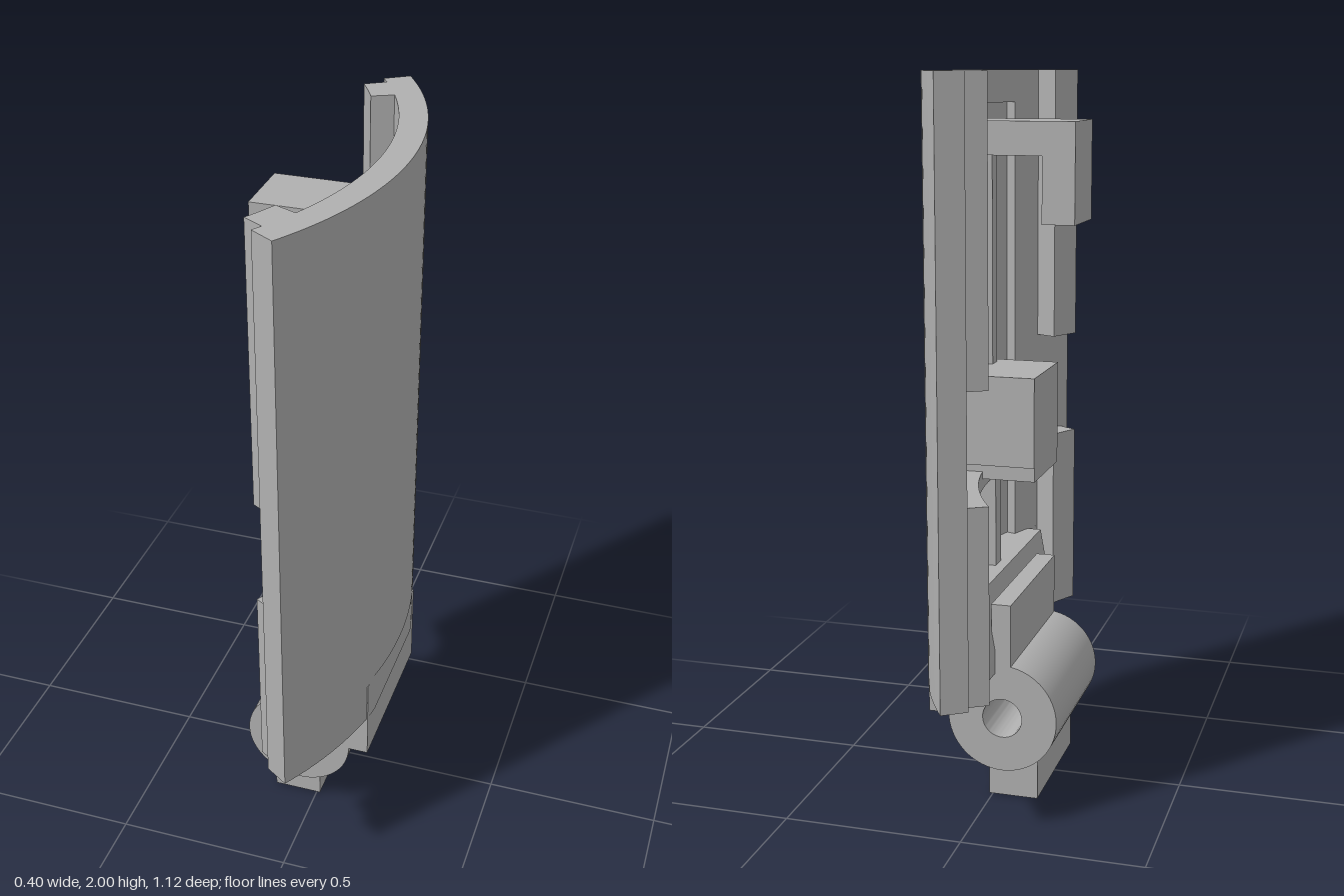
import * as THREE from 'three';
import { toCreasedNormals } from 'three/addons/utils/BufferGeometryUtils.js';

const CX = -0.836;                             // axis of the curved cover
const R_OUT = 1.033, R_MID = 0.985, R_IN = 0.957, R_RIB = 0.893;
const END = 32.8, RIB_IN = 24.8, RIB_OUT = 31; // angles in degrees

export function createModel() {
  const group = new THREE.Group();
  const grey = new THREE.MeshStandardMaterial({ color: 0xb0b0b0 });
  grey.name = 'grey';

  function add(name, geometry) {
    const mesh = new THREE.Mesh(geometry, grey);
    mesh.name = name;
    group.add(mesh);
    return mesh;
  }

  // box given by its limits
  function box(name, x0, x1, y0, y1, z0, z1) {
    const g = new THREE.BoxGeometry(x1 - x0, y1 - y0, z1 - z0);
    g.translate((x0 + x1) / 2, (y0 + y1) / 2, (z0 + z1) / 2);
    return add(name, g);
  }

  // upright slice of a ring wall, optionally planed flat at maxX
  function sector(name, r0, r1, a0, a1, y0, y1, maxX = 1) {
    const n = Math.max(4, Math.ceil((a1 - a0) * 0.75));
    const pts = [];
    const put = (r, deg) => {
      const a = THREE.MathUtils.degToRad(deg);
      pts.push(new THREE.Vector2(Math.min(maxX, CX + r * Math.cos(a)), -r * Math.sin(a)));
    };
    for (let i = 0; i <= n; i++) put(r1, a0 + (a1 - a0) * i / n);
    for (let i = n; i >= 0; i--) put(r0, a0 + (a1 - a0) * i / n);
    const g = new THREE.ExtrudeGeometry(new THREE.Shape(pts), { depth: y1 - y0, bevelEnabled: false });
    g.rotateX(-Math.PI / 2);
    g.translate(0, y0, 0);
    return add(name, toCreasedNormals(g, 0.3));
  }

  // side profile in x and y, extruded symmetrically across z
  function profile(name, shape, halfWidth) {
    const g = new THREE.ExtrudeGeometry(shape, { depth: 2 * halfWidth, bevelEnabled: false, curveSegments: 32 });
    g.translate(0, 0, -halfWidth);
    return add(name, toCreasedNormals(g, 0.4));
  }

  // outer skin, with a flat at the bottom
  sector('coverSkin', R_MID, R_OUT, -END, END, 0.51, 2);
  sector('coverSkinFlat', R_MID, R_OUT, -END, END, 0.38, 0.51, 0.178);

  // inner layer around a shallow recess
  sector('innerLayerTop', R_IN, R_MID, -END, END, 1.91, 2);
  sector('innerLayerBottom', R_IN, R_MID, -END, END, 0.38, 0.62);
  for (const s of [-1, 1]) {
    const span = (a, b) => (s > 0 ? [a, b] : [-b, -a]);
    sector('innerLayerSide', R_IN, R_MID, ...span(18, END), 0.62, 1.91);
    // edge ribs, interrupted in the middle
    sector('upperEdgeRib', R_RIB, R_IN, ...span(RIB_IN, RIB_OUT), 1.22, 2);
    sector('lowerEdgeRib', R_RIB, R_IN, ...span(RIB_IN, RIB_OUT), 0.38, 0.92);
    // slim uprights between hook and block
    box('upright', 0.07, 0.155, 1.15, 1.8, s * 0.07 - 0.02, s * 0.07 + 0.02);
  }

  // cross rib and centre rib of the lower frame
  sector('crossRib', R_RIB, R_MID, -RIB_OUT, RIB_OUT, 0.87, 0.92);
  box('centreRib', 0.04, 0.155, 0.55, 0.9, -0.025, 0.025);

  // sloped shelf at the foot of the frame
  profile('shelf', new THREE.Shape([
    [-0.02, 0.38], [0.1, 0.38], [0.1, 0.62], [0.01, 0.62], [-0.02, 0.45],
  ].map(([x, y]) => new THREE.Vector2(x, y))), 0.36);

  // hook
  profile('hook', new THREE.Shape([
    [-0.2, 1.6], [-0.11, 1.6], [-0.11, 1.78], [0.16, 1.78], [0.16, 1.87], [-0.2, 1.87],
  ].map(([x, y]) => new THREE.Vector2(x, y))), 0.097);

  // stop block with a narrow lower step
  box('stopBlock', -0.1, 0.16, 0.94, 1.19, -0.13, 0.13);
  box('stopBlockStep', -0.1, 0.16, 0.9, 0.94, -0.123, 0.123);

  // hinge barrel with a pin hole
  const ring = new THREE.Shape();
  ring.absarc(-0.04, 0.25, 0.155, 0, Math.PI * 2, false);
  const hole = new THREE.Path();
  hole.absarc(-0.04, 0.25, 0.056, 0, Math.PI * 2, true);
  ring.holes.push(hole);
  profile('hingeBarrel', ring, 0.24);

  // neck joining barrel and cover, upright plate and foot
  box('hingeNeck', 0.06, 0.172, 0.25, 0.5, -0.24, 0.24);
  box('hingeBridge', -0.02, 0.07, 0.34, 0.5, -0.24, 0.24);
  box('hingePlate', -0.065, -0.01, 0.34, 0.58, -0.24, 0.24);
  box('foot', -0.13, 0.01, 0, 0.16, -0.195, 0.195);

  return group;
}
